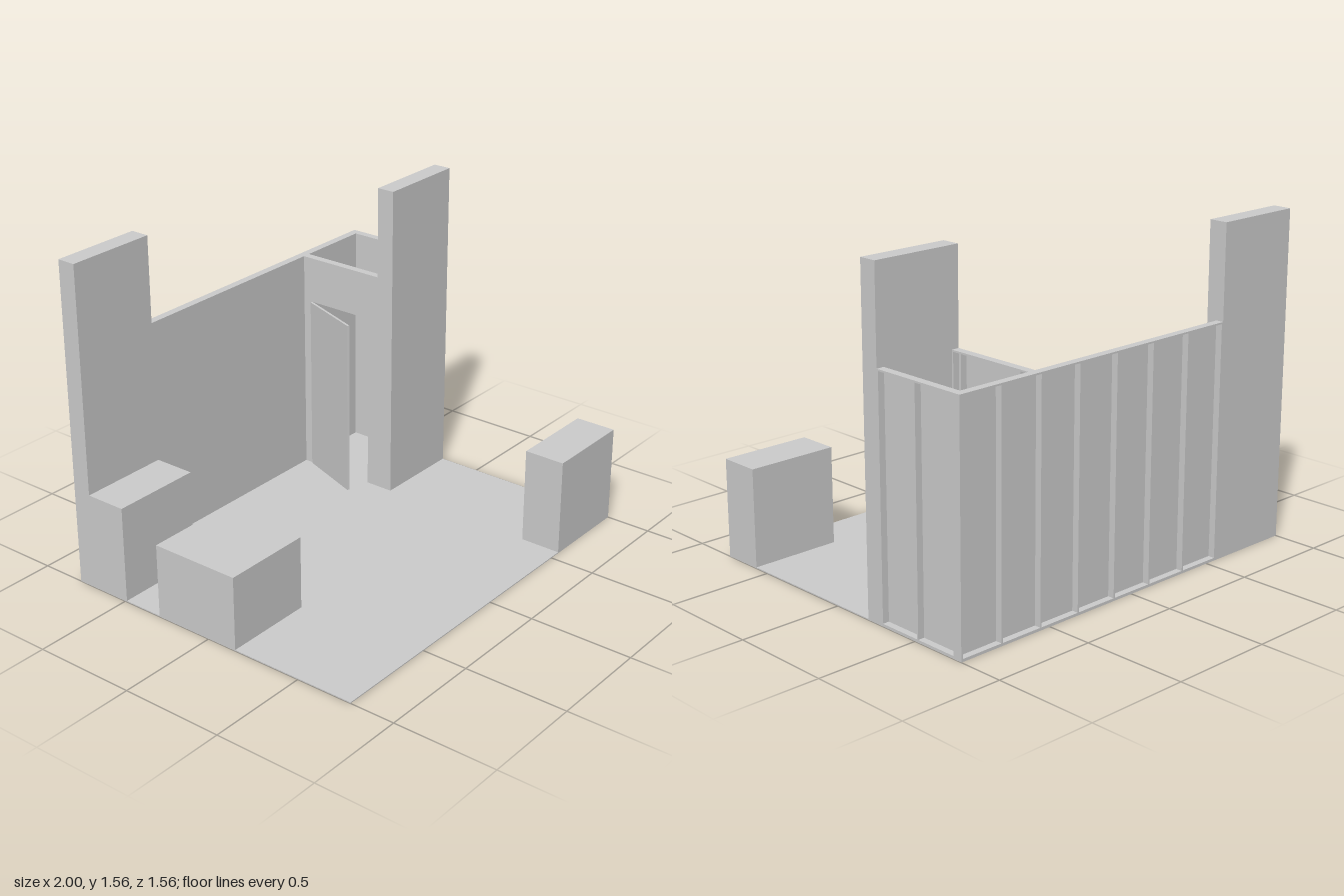
import * as THREE from 'three';

const grey = new THREE.MeshStandardMaterial({ color: 0xcccccc, flatShading: true });

// box from its lower and upper bounds on each axis
function box(parent, name, [x0, x1], [y0, y1], [z0, z1]) {
  const mesh = new THREE.Mesh(new THREE.BoxGeometry(x1 - x0, y1 - y0, z1 - z0), grey);
  mesh.position.set((x0 + x1) / 2, (y0 + y1) / 2, (z0 + z1) / 2);
  mesh.name = name;
  parent.add(mesh);
  return mesh;
}

const FLOOR = 0.005, WALL_TOP = 1.117, DEPTH = 0.038, STUD = 0.008, SKIN = 0.006;

// framed flat: skin on local +z, studs and rails behind it; optional doorway
function flat(name, length, studs, door) {
  const g = new THREE.Group();
  g.name = name;
  const h = length / 2, d = DEPTH / 2;
  const front = [d - SKIN, d], frame = [-d, d - SKIN], y = [FLOOR, WALL_TOP];
  if (door) {
    box(g, 'skin', [-h, door.x0], y, front);
    box(g, 'skin', [door.x1, h], y, front);
    box(g, 'skinOverDoor', [door.x0, door.x1], [door.top, WALL_TOP], front);
    box(g, 'doorHeader', [door.x0, door.x1], [door.top, door.top + STUD], frame);
    box(g, 'bottomRail', [-h, door.x0], [FLOOR, FLOOR + STUD], frame);
    box(g, 'bottomRail', [door.x1, h], [FLOOR, FLOOR + STUD], frame);
  } else {
    box(g, 'skin', [-h, h], y, front);
    box(g, 'bottomRail', [-h, h], [FLOOR, FLOOR + STUD], frame);
  }
  box(g, 'topRail', [-h, h], [WALL_TOP - STUD, WALL_TOP], frame);
  for (const s of studs) {
    box(g, 'stud', [s - STUD / 2, s + STUD / 2], [FLOOR + STUD, WALL_TOP - STUD], frame);
  }
  return g;
}

// evenly spaced stud centres, flush with both ends
function spaced(length, bays) {
  const run = length - STUD;
  return Array.from({ length: bays + 1 }, (_, i) => -run / 2 + (run * i) / bays);
}

export function createModel() {
  const model = new THREE.Group();
  model.name = 'stageSet';

  box(model, 'floor', [-1, 1], [0, FLOOR], [-0.78, 0.78]);

  // tall slabs and solid blocks
  const rightX = [-1, -0.56], leftX = [0.556, 1];
  box(model, 'rightTower', rightX, [FLOOR, 1.56], [-0.78, -0.69]);
  box(model, 'leftTower', leftX, [FLOOR, 1.56], [-0.29, -0.203]);
  box(model, 'rightRearBlock', rightX, [FLOOR, 0.47], [-0.69, -0.49]);
  box(model, 'rightFrontBlock', rightX, [FLOOR, 0.36], [-0.29, 0.153]);
  box(model, 'leftFrontBlock', leftX, [FLOOR, 0.47], [0.58, 0.78]);

  // back wall, seven bays
  const back = flat('backWall', 1.56, spaced(1.56, 7));
  back.position.set(0.22, 0, -0.78 + DEPTH / 2);
  model.add(back);

  // closet walls, skins facing the stage
  const closetLength = 0.452, closetZ = -0.516;
  const outer = flat('outerSideWall', closetLength, spaced(closetLength, 2));
  outer.rotation.y = -Math.PI / 2;
  outer.position.set(1 - DEPTH / 2, 0, closetZ);
  model.add(outer);

  const door = { x0: -0.174, x1: 0.171, top: 0.89 };
  const ends = spaced(closetLength, 1);
  const inner = flat('doorWall', closetLength,
    [...ends, door.x0 - STUD / 2, door.x1 + STUD / 2], door);
  inner.rotation.y = -Math.PI / 2;
  inner.position.set(0.556 + DEPTH / 2, 0, closetZ);
  model.add(inner);

  // door leaf swung open towards the stage
  const hinge = new THREE.Group();
  hinge.name = 'openDoor';
  hinge.position.set(0.556, 0, -0.69);
  hinge.rotation.y = -0.354;
  box(hinge, 'doorLeaf', [-0.012, 0], [FLOOR + 0.003, 0.89], [0, 0.345]);
  model.add(hinge);

  return model;
}
